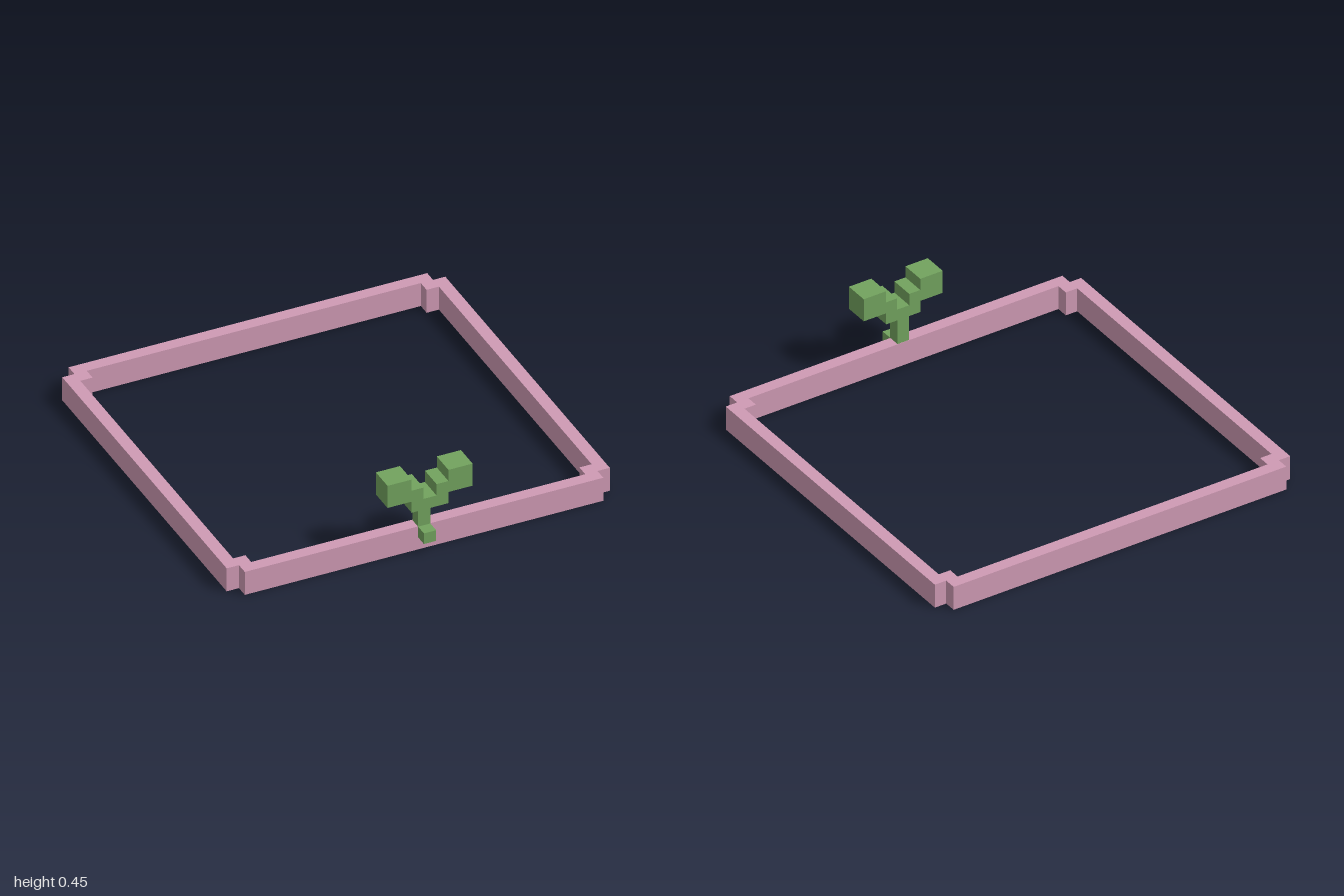
import * as THREE from 'three';

const U = 0.064; // module: wall thickness and stem width

// Closed outline of a rectangle whose corners are stepped in by one square notch
function notchedRect(PathType, hx, hy, n) {
  const quarter = [[hx, hy - n], [hx - n, hy - n], [hx - n, hy]];
  const points = [];
  for (const [sx, sy] of [[1, 1], [-1, 1], [-1, -1], [1, -1]]) {
    const corner = quarter.map(([x, y]) => new THREE.Vector2(x * sx, y * sy));
    points.push(...(sx * sy > 0 ? corner : corner.reverse()));
  }
  return new PathType(points);
}

export function createModel() {
  const model = new THREE.Group();
  const pink = new THREE.MeshStandardMaterial({ color: 0xcf9ab4, flatShading: true });
  const green = new THREE.MeshStandardMaterial({ color: 0x72a35e, flatShading: true });

  const add = (parent, name, geometry, material, x = 0, y = 0, z = 0) => {
    const mesh = new THREE.Mesh(geometry, material);
    mesh.name = name;
    mesh.position.set(x, y, z);
    parent.add(mesh);
    return mesh;
  };

  // Low square rim with stepped corners
  const halfZ = 0.967;
  const rimShape = notchedRect(THREE.Shape, 1, halfZ, U);
  rimShape.holes.push(notchedRect(THREE.Path, 1 - U, halfZ - U, U));
  const rimGeometry = new THREE.ExtrudeGeometry(rimShape, { depth: 0.13, bevelEnabled: false });
  rimGeometry.rotateX(-Math.PI / 2);
  add(model, 'rim', rimGeometry, pink, 0, 0, -1 + halfZ);

  // Sprout standing on the front rim
  const sprout = new THREE.Group();
  sprout.name = 'sprout';
  model.add(sprout);

  add(sprout, 'stem', new THREE.BoxGeometry(U, 0.135, U), green, 0, 0.1975, 0.904);
  add(sprout, 'peg', new THREE.BoxGeometry(U, 0.06, U), green, 0, 0.1, 0.968);

  // Stepped fork carrying the two leaf blocks, mirrored about x = 0
  const half = [[0.096, 0.265], [0.096, 0.328], [0.222, 0.328], [0.222, 0.453],
    [0.096, 0.453], [0.096, 0.39], [0.034, 0.39], [0.034, 0.326]];
  const mirrored = half.map(([x, y]) => [-x, y]).reverse();
  const forkShape = new THREE.Shape([...half, ...mirrored].map(([x, y]) => new THREE.Vector2(x, y)));
  const forkGeometry = new THREE.ExtrudeGeometry(forkShape, { depth: 2 * U, bevelEnabled: false });
  add(sprout, 'leaves', forkGeometry, green, 0, 0, 1 - 2 * U);

  return model;
}
